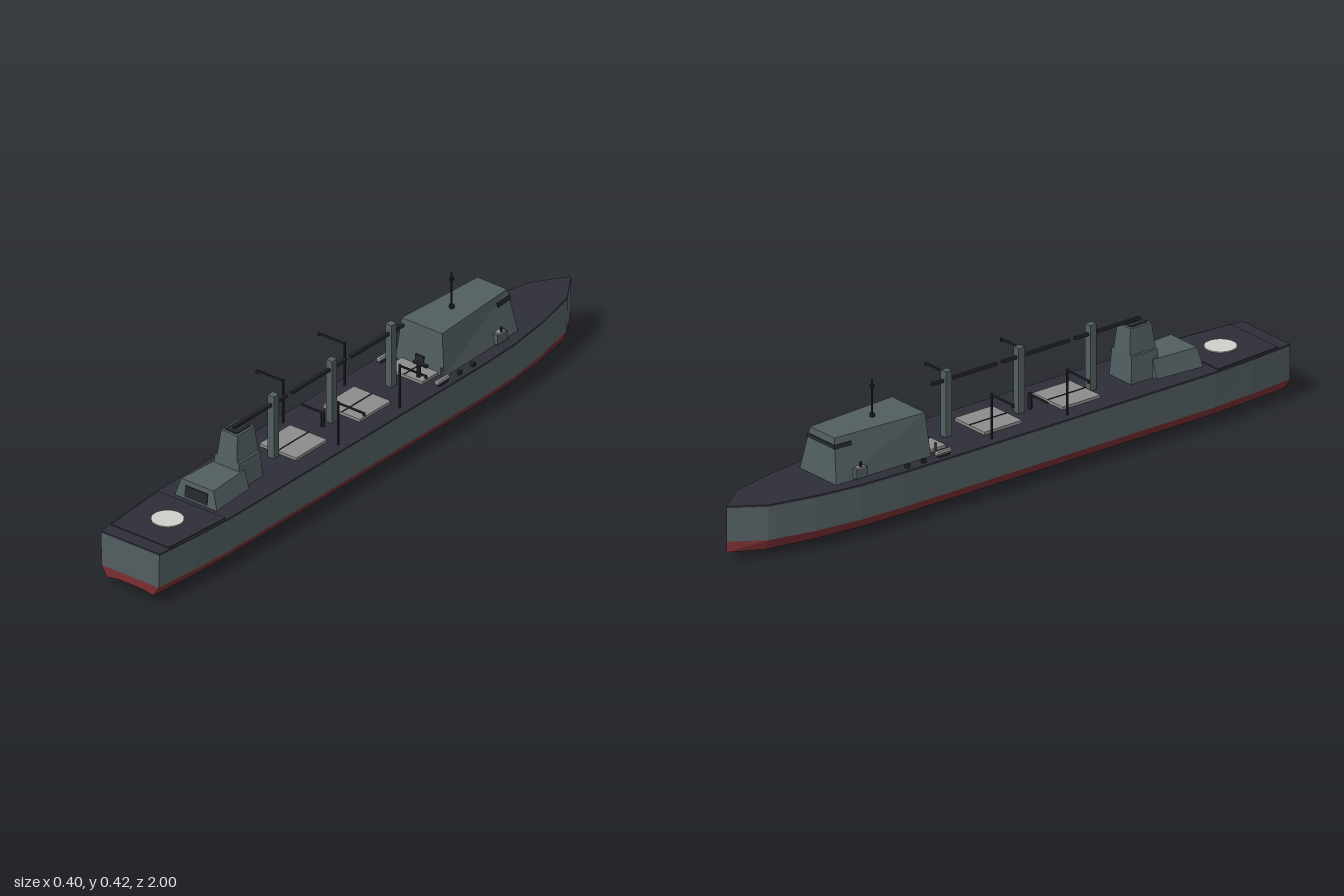
import * as THREE from 'three';

const mat = (name, color, side = THREE.FrontSide) => {
  const m = new THREE.MeshStandardMaterial({ color, side, flatShading: true });
  m.name = name;
  return m;
};

export function createModel() {
  const ship = new THREE.Group();
  ship.name = 'supplyShip';
  const grey = mat('hull grey', 0x525e61);
  const deckMat = mat('deck charcoal', 0x2e2e38);
  const red = mat('bottom red', 0x7a2f33);
  const dark = mat('fittings black', 0x24272c);
  const hatchMat = mat('hatch grey', 0x8c8c8c);
  const white = mat('pad white', 0xd0d0ca);

  const add = (name, geo, m, x = 0, y = 0, z = 0) => {
    const mesh = new THREE.Mesh(geo, m);
    mesh.name = name;
    mesh.position.set(x, y, z);
    ship.add(mesh);
    return mesh;
  };
  const box = (name, m, w, h, d, x, y, z) => add(name, new THREE.BoxGeometry(w, h, d), m, x, y, z);
  const rod = (name, m, r, h, x, y, z, n = 8) => add(name, new THREE.CylinderGeometry(r, r, h, n), m, x, y, z);

  // Tapered block: each end is [half width at z0, half width at z1, z0, z1]
  const block = (name, m, y0, y1, bottom, top) => {
    const geo = new THREE.BoxGeometry(2, 2, 2);
    const p = geo.attributes.position;
    for (let i = 0; i < p.count; i++) {
      const e = p.getY(i) > 0 ? top : bottom;
      const k = p.getZ(i) > 0 ? 1 : 0;
      p.setXYZ(i, p.getX(i) * e[k], p.getY(i) > 0 ? y1 : y0, e[2 + k]);
    }
    geo.computeVertexNormals();
    return add(name, geo, m);
  };

  // Hull stations: z, half beam, keel height
  const stations = [
    [-1, 0.002, 0.03], [-0.9, 0.07, 0.022], [-0.75, 0.104, 0.014], [-0.6, 0.124, 0.009],
    [-0.45, 0.13, 0.006], [-0.2, 0.131, 0.001], [0, 0.131, 0], [0.3, 0.131, 0.003],
    [0.7, 0.131, 0.014], [0.85, 0.122, 0.024], [1, 0.108, 0.034],
  ];
  const section = ([z, b, k]) => {
    const half = [[b, 0.166], [b * 0.98, 0.06], [b * 0.8, 0.027], [b * 0.4, k]];
    return [...half, ...half.map(([x, y]) => [-x, y]).reverse()].map(([x, y]) => new THREE.Vector3(x, y, z));
  };
  const rings = stations.map(section);
  const loft = (name, m, strips) => {
    const pts = [];
    for (let i = 0; i < rings.length - 1; i++) {
      for (const j of strips) {
        const [a, b, c, d] = [rings[i][j], rings[i][j + 1], rings[i + 1][j + 1], rings[i + 1][j]];
        pts.push(a, d, c, a, c, b);
      }
    }
    const geo = new THREE.BufferGeometry().setFromPoints(pts);
    geo.computeVertexNormals();
    add(name, geo, m);
  };
  loft('hullSides', grey, [0, 6]);
  loft('hullBottom', red, [1, 2, 3, 4, 5]);

  // Transom, split at the waterline
  const stern = rings[rings.length - 1];
  const panel = (ids) => new THREE.ShapeGeometry(new THREE.Shape(ids.map((i) => new THREE.Vector2(stern[i].x, stern[i].y))));
  add('transomUpper', panel([0, 1, 6, 7]), grey, 0, 0, 1);
  add('transomLower', panel([1, 2, 3, 4, 5, 6]), red, 0, 0, 1);

  // Deck slab following the hull outline
  const outline = [
    ...stations.map(([z, b]) => new THREE.Vector2(b, -z)),
    ...stations.map(([z, b]) => new THREE.Vector2(-b, -z)).reverse(),
  ];
  const deckGeo = new THREE.ExtrudeGeometry(new THREE.Shape(outline), { depth: 0.006, bevelEnabled: false });
  deckGeo.rotateX(-Math.PI / 2);
  add('deck', deckGeo, deckMat, 0, 0.165, 0);

  // Landing deck with its pad circle
  block('landingDeck', deckMat, 0.17, 0.174, [0.124, 0.107, 0.72, 0.955], [0.124, 0.107, 0.72, 0.955]);
  rod('landingCircle', white, 0.048, 0.003, 0, 0.1755, 0.83, 32);

  // Forward superstructure with wraparound bridge windows
  block('bridgeHouse', grey, 0.17, 0.305, [0.083, 0.09, -0.66, -0.315], [0.055, 0.075, -0.645, -0.325]);
  block('bridgeWindows', dark, 0.273, 0.285, [0.064, 0.0685, -0.651, -0.59], [0.062, 0.0664, -0.65, -0.59]);
  box('aftBridgeDoor', dark, 0.03, 0.04, 0.006, 0, 0.192, -0.316);

  // Bridge mast
  rod('bridgeMast', dark, 0.003, 0.115, 0, 0.3625, -0.46);
  box('mastYard', dark, 0.018, 0.003, 0.003, 0, 0.4, -0.46);
  box('mastYardFore', dark, 0.003, 0.003, 0.018, 0, 0.4, -0.46);
  rod('mastBase', dark, 0.008, 0.012, 0, 0.309, -0.46);

  // Hangar and its door
  block('hangar', grey, 0.17, 0.228, [0.066, 0.078, 0.54, 0.702], [0.05, 0.06, 0.54, 0.695]);
  block('hangarDoor', dark, 0.178, 0.213, [0.041, 0.041, 0.69, 0.704], [0.041, 0.041, 0.69, 0.7]);

  // Funnel in two tiers, with dark uptakes
  block('funnelBase', grey, 0.17, 0.255, [0.05, 0.05, 0.458, 0.565], [0.045, 0.045, 0.464, 0.56]);
  block('funnelTop', grey, 0.255, 0.335, [0.037, 0.037, 0.464, 0.56], [0.03, 0.03, 0.472, 0.55]);
  block('funnelUptake', dark, 0.335, 0.338, [0.022, 0.022, 0.48, 0.542], [0.022, 0.022, 0.48, 0.542]);

  // Transfer posts with their fore-and-aft booms
  for (const [z, z0, z1] of [[0.35, 0.29, 0.53], [0.085, 0.02, 0.27], [-0.185, -0.24, 0]]) {
    box('transferPost', grey, 0.023, 0.206, 0.023, 0, 0.272, z);
    box('transferBoom', dark, 0.009, 0.009, z1 - z0, 0, 0.345, (z0 + z1) / 2);
  }

  // Cargo hatches
  for (const [z, d] of [[0.26, 0.14], [-0.03, 0.14], [-0.28, 0.075]]) {
    box('cargoHatch', hatchMat, 0.136, 0.01, d, 0, 0.175, z);
    box('hatchSeam', dark, 0.003, 0.002, d, 0, 0.181, z);
  }

  // Deck crane and small vents
  rod('cranePedestal', dark, 0.007, 0.05, 0, 0.195, 0.125);
  box('craneJib', dark, 0.08, 0.005, 0.005, -0.04, 0.215, 0.125);
  rod('deckVent', dark, 0.007, 0.05, 0.04, 0.195, -0.262);
  box('ventArm', dark, 0.05, 0.008, 0.01, 0.04, 0.217, -0.27);

  for (const s of [-1, 1]) {
    // Overhanging derrick posts
    for (const z of [0.18, -0.1]) {
      rod('derrickPost', dark, 0.0035, 0.142, s * 0.102, 0.242, z);
      box('derrickArm', dark, 0.098, 0.005, 0.005, s * 0.151, 0.308, z);
      box('derrickHook', dark, 0.006, 0.01, 0.006, s * 0.198, 0.305, z);
    }
    // Side platforms and guns
    box('sidePlatform', grey, 0.024, 0.03, 0.045, s * 0.083, 0.19, -0.575);
    box('platformTop', hatchMat, 0.02, 0.004, 0.03, s * 0.085, 0.207, -0.575);
    rod('sideGun', dark, 0.004, 0.02, s * 0.09, 0.213, -0.575);
    // Boats on cradles
    const boat = add('boat', new THREE.CapsuleGeometry(0.008, 0.045, 3, 8), hatchMat, s * 0.108, 0.183, -0.285);
    boat.rotation.x = Math.PI / 2;
    box('boatCradle', dark, 0.014, 0.008, 0.04, s * 0.108, 0.174, -0.285);
    box('boatDavit', grey, 0.006, 0.04, 0.006, s * 0.092, 0.19, -0.3);
    // Bollards along the deck edge
    for (const z of [-0.42, -0.36]) box('bollard', dark, 0.01, 0.012, 0.014, s * 0.112, 0.177, z);
  }
  return ship;
}
